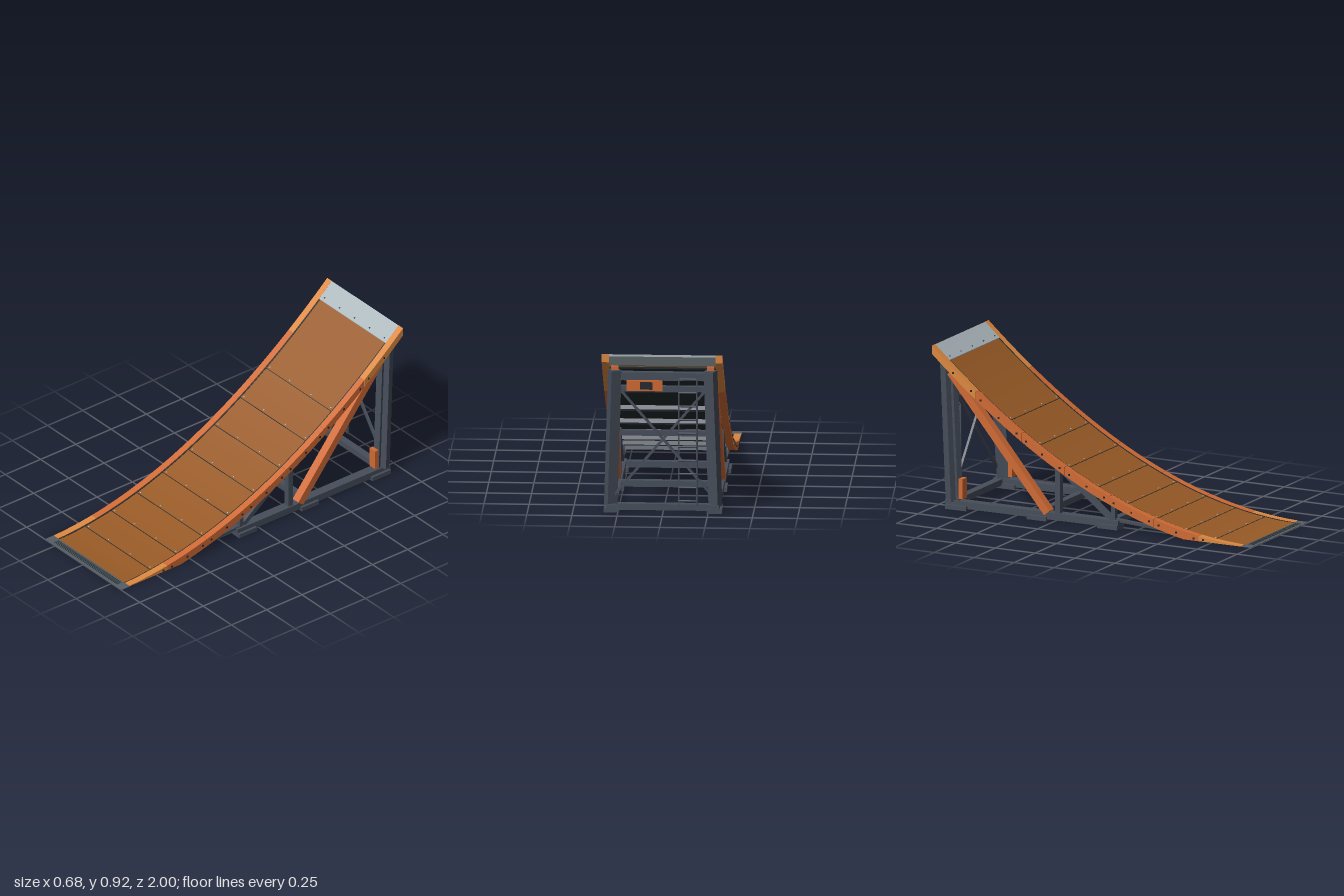
import * as THREE from 'three';
import { toCreasedNormals } from 'three/addons/utils/BufferGeometryUtils.js';

const mat = (name, color) => {
  const m = new THREE.MeshStandardMaterial({ color });
  m.name = name;
  return m;
};

// height and slope angle of the riding surface at depth z
const height = (z) => 0.92 * Math.pow(Math.max(0, (1 - z) / 2), 1.96);
const slope = (z) => Math.atan((height(z - 0.01) - height(z + 0.01)) / 0.02);

export function createModel() {
  const ramp = new THREE.Group();
  ramp.name = 'ramp';
  const wood = mat('wood deck', 0x985a26);
  const orange = mat('orange steel', 0xd06a34);
  const amber = mat('amber rail ends', 0xdc8840);
  const steel = mat('dark steel', 0x464e5a);
  const plate = mat('pale metal plate', 0xacb7bc);
  const black = mat('black underside', 0x23292b);
  const flapGrey = mat('flap grey', 0x555e66);

  const add = (name, geometry, material, parent = ramp) => {
    const m = new THREE.Mesh(geometry, material);
    m.name = name;
    parent.add(m);
    return m;
  };

  const box = (name, material, w, h, d, x, y, z) => {
    const m = add(name, new THREE.BoxGeometry(w, h, d), material);
    m.position.set(x, y, z);
    return m;
  };

  // straight square-section bar between two points
  const beam = (name, material, a, b, w, h = w) => {
    const from = new THREE.Vector3(...a), to = new THREE.Vector3(...b);
    const m = new THREE.Mesh(new THREE.BoxGeometry(w, h, from.distanceTo(to)), material);
    m.name = name;
    m.position.copy(from).add(to).multiplyScalar(0.5);
    m.lookAt(to);
    ramp.add(m);
    return m;
  };

  // slab following the curve from z0 (low) to z1 (high)
  const strip = (name, material, x0, x1, z0, z1, offset, thick) => {
    const n = Math.max(2, Math.ceil((z0 - z1) / 0.05));
    const top = [], bottom = [];
    for (let i = 0; i <= n; i++) {
      const z = z0 + ((z1 - z0) * i) / n;
      const y = Math.max(height(z) + offset, 0.002);
      top.push(new THREE.Vector2(z, y));
      bottom.unshift(new THREE.Vector2(z, Math.max(0, y - thick)));
    }
    const g = new THREE.ExtrudeGeometry(new THREE.Shape([...top, ...bottom]), {
      depth: x1 - x0, bevelEnabled: false, steps: 1,
    });
    g.rotateY(-Math.PI / 2);
    g.translate(x1, 0, 0);
    return add(name, toCreasedNormals(g, 0.4), material);
  };

  // deck, its dark backing, top plate and entry flap
  strip('deck', wood, -0.288, 0.288, 0.94, -0.92, -0.002, 0.008);
  strip('deckBacking', black, -0.294, 0.294, 0.8, -0.91, -0.011, 0.01);
  strip('topPlate', plate, -0.295, 0.295, -0.91, -1, 0.002, 0.012);
  strip('entryFlap', flapGrey, -0.338, 0.338, 1, 0.94, 0.001, 0.004);
  for (let i = 0; i < 4; i++) {
    box('flapGroove', black, 0.56, 0.001, 0.004, 0, 0.0035, 0.955 + i * 0.009);
  }

  // seams between deck panels, with screws
  for (let i = 0; i < 8; i++) {
    const z = 0.755 - i * 0.1835;
    const seam = box('deckSeam', black, 0.576, 0.002, 0.004, 0, height(z) - 0.002, z);
    seam.rotation.x = slope(z);
    for (const x of [-0.27, -0.095, 0.095, 0.27]) {
      const screw = box('deckScrew', plate, 0.008, 0.003, 0.006, x, height(z - 0.012) - 0.001, z - 0.012);
      screw.rotation.x = slope(z);
    }
  }
  for (const x of [-0.265, -0.133, 0, 0.133, 0.265]) {
    box('plateBolt', black, 0.008, 0.006, 0.006, x, height(-0.925) + 0.002, -0.925).rotation.x = slope(-0.925);
  }

  // curved edge rails in separate segments
  const cuts = [0.94, 0.67, 0.39, 0.11, -0.17, -0.44, -0.725, -1];
  for (const s of [-1, 1]) {
    const span = (a, b) => (s > 0 ? [a, b] : [-b, -a]);
    strip('edgeGap', black, ...span(0.287, 0.2955), 0.94, -0.91, 0, 0.02);
    for (let i = 0; i < cuts.length - 1; i++) {
      const end = i === 0 || i === cuts.length - 2;
      strip('edgeRail', end ? amber : orange, ...span(0.295, 0.335), cuts[i] - 0.001, cuts[i + 1] + (i < 6 ? 0.001 : 0), 0.003, 0.047);
      if (i > 0) {
        for (const d of [-0.03, 0.03, -0.14]) {
          const z = cuts[i] + d;
          box('railBolt', black, 0.005, 0.01, 0.01, s * 0.337, Math.max(0.01, height(z) - 0.02), z);
        }
      }
    }
  }

  // side frames
  for (const s of [-1, 1]) {
    const x = s * 0.285;
    box('sill', steel, 0.055, 0.04, 1.085, x, 0.03, -0.3875);
    for (const [z, d] of [[0.092, 0.125], [-0.35, 0.12], [-0.855, 0.13]]) {
      box('foot', steel, 0.085, 0.025, d, x, 0.0125, z);
    }
    beam('rearPost', steel, [s * 0.29, 0.04, -0.893], [s * 0.265, 0.82, -0.942], 0.06, 0.05);
    beam('rearPostInner', steel, [s * 0.285, 0.04, -0.855], [s * 0.265, 0.73, -0.898], 0.035, 0.025);
    box('postCap', orange, 0.04, 0.03, 0.03, s * 0.265, 0.825, -0.93);
    box('postGuard', orange, 0.05, 0.115, 0.025, s * 0.29, 0.12, -0.83);
    beam('diagonalBrace', orange, [s * 0.29, 0.045, -0.29], [s * 0.275, 0.775, -0.905], 0.05, 0.045);
    box('middlePost', steel, 0.035, 0.27, 0.032, x, 0.18, -0.23);
    box('frontPost', steel, 0.03, 0.105, 0.025, x, 0.095, 0.117);
    beam('frontDiagonal', steel, [x, 0.055, 0.1], [x, 0.3, -0.215], 0.03, 0.028);
    beam('toeStrut', steel, [x, 0.025, 0.5], [x, 0.052, 0.1], 0.025, 0.016);
    // rear cross bracing
    beam('crossBrace', steel, [s * 0.27, 0.1, -0.9 - s * 0.006], [-s * 0.25, 0.72, -0.93 - s * 0.006], 0.014);
  }

  // bars joining the two sides at floor level and behind
  for (const z of [0.1, -0.35, -0.89]) box('floorCrossbar', steel, 0.55, 0.035, 0.04, 0, 0.032, z);
  box('middleCrossbar', steel, 0.55, 0.03, 0.03, 0, 0.29, -0.23);
  box('rearTopCrossbar', steel, 0.52, 0.045, 0.04, 0, 0.785, -0.93);
  box('braceCrossbar', steel, 0.54, 0.03, 0.03, 0, 0.7, -0.875);

  // ribs under the deck
  for (const z of [0.33, 0.115, -0.03, -0.16, -0.34, -0.525, -0.74]) {
    const rib = box('deckRib', steel, 0.59, 0.025, 0.03, 0, height(z) - 0.04, z);
    rib.rotation.x = slope(z);
  }

  // ladder on the rear
  const ladderX = -0.14;
  for (const s of [-1, 1]) {
    beam('ladderRail', steel, [ladderX + s * 0.05, 0.05, -0.947], [ladderX + s * 0.05, 0.8, -0.953], 0.01);
  }
  for (let i = 0; i < 10; i++) {
    const rung = add('ladderRung', new THREE.CylinderGeometry(0.005, 0.005, 0.1, 8), steel);
    rung.rotation.z = Math.PI / 2;
    rung.position.set(ladderX, 0.08 + i * 0.077, -0.955);
  }

  // blank marker board on the rear
  box('markerBoard', orange, 0.2, 0.06, 0.02, 0.1, 0.735, -0.952);
  box('markerPanel', black, 0.07, 0.042, 0.004, 0.09, 0.735, -0.9635);
  return ramp;
}
